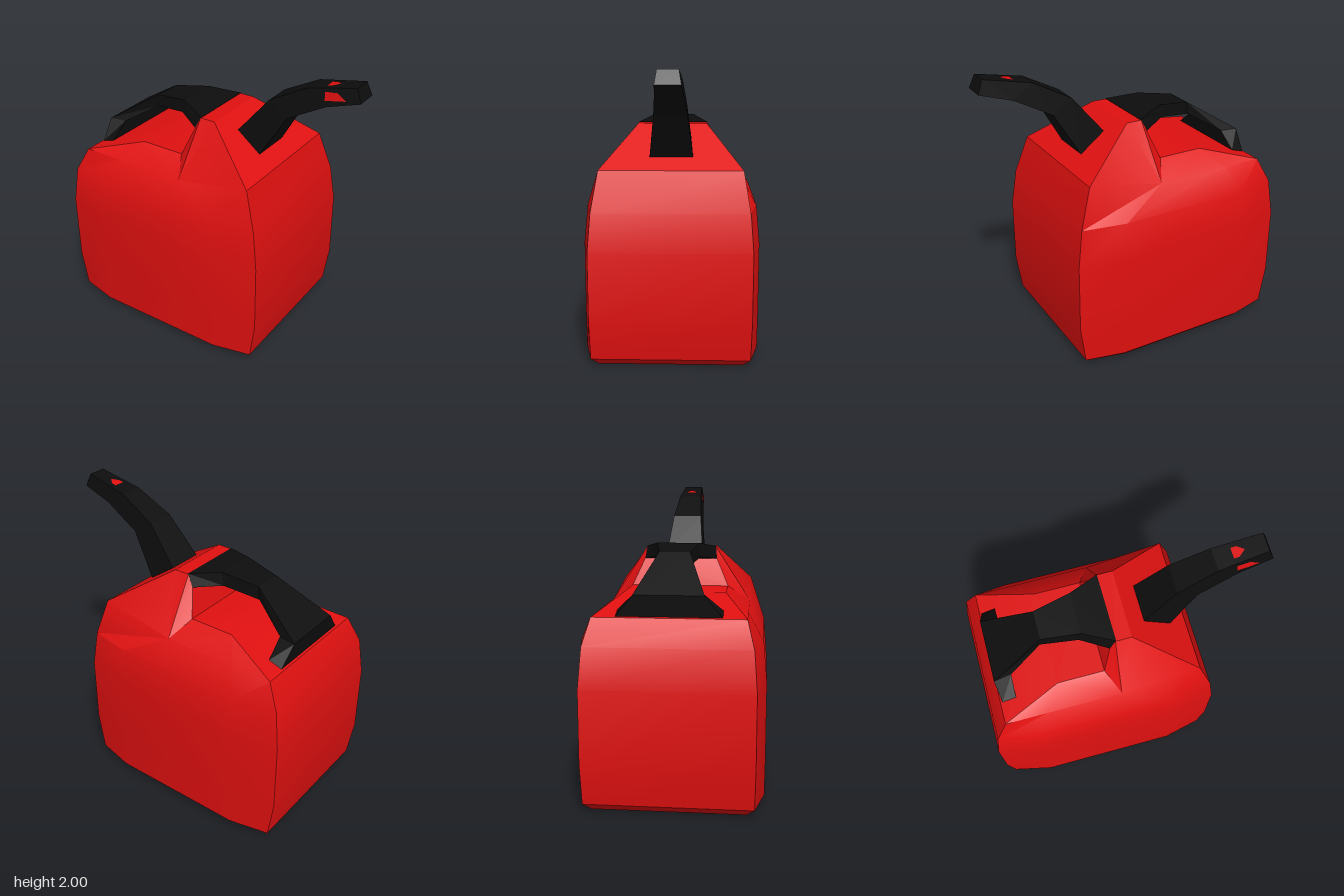
import * as THREE from 'three';
import { toCreasedNormals } from 'three/addons/utils/BufferGeometryUtils.js';

const V = (x, y, z) => new THREE.Vector3(x, y, z);
const mirror = (p) => V(p.x, p.y, -p.z);

const toGeometry = (tris) => {
  const g = new THREE.BufferGeometry().setFromPoints(tris);
  g.computeVertexNormals();
  return g;
};

// Flat polygon as a triangle fan
const fan = (pts) => {
  const out = [];
  for (let i = 1; i < pts.length - 1; i++) out.push(pts[0], pts[i], pts[i + 1]);
  return out;
};

// Skin between rings that run counter-clockwise around the travel direction
const loft = (rings, capEnd = true) => {
  const tris = fan([...rings[0]].reverse());
  for (let i = 0; i < rings.length - 1; i++) {
    const a = rings[i], b = rings[i + 1], n = a.length;
    for (let j = 0; j < n; j++) {
      const k = (j + 1) % n;
      tris.push(...fan([a[j], a[k], b[k], b[j]]));
    }
  }
  if (capEnd) tris.push(...fan(rings[rings.length - 1]));
  return tris;
};

// Four-sided section from its upper and lower edge, with half widths
const section = ([tx, ty, tw, bx, by, bw]) =>
  [V(tx, ty, -tw), V(tx, ty, tw), V(bx, by, bw), V(bx, by, -bw)];

// Thin painted patch lying on a quad face, outline given in face coordinates
const patch = ([a, b, c, d], outline) => {
  const n = b.clone().sub(a).cross(d.clone().sub(a)).normalize().multiplyScalar(0.004);
  return toGeometry(fan(outline.map(([u, v]) =>
    a.clone().lerp(b, u).lerp(d.clone().lerp(c, u), v).add(n))));
};

function bodyGeometry() {
  // Left x, inner xs, right x, y (left, right), corner z, middle z
  const levels = [
    [-0.91, -0.66, 0.24, 0.49, 0, 0, 0.49, 0.55],
    [-0.96, -0.69, 0.27, 0.54, 0.05, 0.05, 0.54, 0.6],
    [-1, -0.69, 0.27, 0.58, 0.32, 0.32, 0.545, 0.603],
    [-1, -0.69, 0.27, 0.58, 0.8, 0.8, 0.545, 0.603],
    [-0.965, -0.68, 0.24, 0.545, 1.06, 1.06, 0.525, 0.58],
    [-0.88, -0.6, -0.08, 0.46, 1.23, 1.33, 0.48, 0.48],
  ];
  const rings = levels.map(([x0, xa, xb, x1, yl, yr, zc, zm]) => {
    const half = [V(x0, yl, zc), V(xa, yl, zm), V(xb, yl, zm), V(x1, yr, zc)];
    return [...half, ...half.map(mirror).reverse()];
  });
  const tris = loft(rings, false);

  // Sloped shoulders, grip recess and raised neck
  const [A, B, C, D] = rings[rings.length - 1];
  const ridge = [V(-0.48, 1.34, 0.33), V(-0.16, 1.34, 0.33), V(-0.1, 1.52, 0.25),
    V(-0.06, 1.6, 0.24), V(0.05, 1.6, 0.24)];
  const side = [A, B, ridge[0], B, C, ridge[0]];
  for (let i = 0; i < 4; i++) side.push(C, ridge[i + 1], ridge[i]);
  side.push(C, D, ridge[4]);
  tris.push(...side, ...side.map(mirror).reverse());
  const strip = [A, ...ridge, D];
  for (let i = 0; i < strip.length - 1; i++) {
    const p = strip[i], q = strip[i + 1];
    tris.push(...fan([p, q, mirror(q), mirror(p)]));
  }
  return toCreasedNormals(toGeometry(tris), 0.55);
}

export function createModel() {
  const red = new THREE.MeshStandardMaterial({ color: 0xe01010 });
  red.name = 'red plastic';
  const black = new THREE.MeshStandardMaterial({ color: 0x0d0d0d });
  black.name = 'black plastic';

  const model = new THREE.Group();
  model.name = 'fuelCan';
  const add = (name, geometry, material) => {
    const mesh = new THREE.Mesh(geometry, material);
    mesh.name = name;
    model.add(mesh);
  };

  add('body', bodyGeometry(), red);

  // Arched handle with a wide foot
  const handle = [
    [-0.865, 1.235, 0.33, -0.77, 1.265, 0.33],
    [-0.88, 1.37, 0.22, -0.76, 1.37, 0.2],
    [-0.52, 1.6, 0.1, -0.53, 1.51, 0.1],
    [-0.26, 1.64, 0.145, -0.28, 1.55, 0.15],
    [-0.055, 1.604, 0.24, -0.1, 1.52, 0.25],
  ].map(section);
  add('handle', toGeometry(loft(handle)), black);

  // Bent tapering spout
  const spout = [
    [0.165, 1.53, 0.13, 0.345, 1.405, 0.145],
    [0.38, 1.79, 0.1, 0.52, 1.7, 0.11],
    [0.64, 1.93, 0.08, 0.78, 1.84, 0.09],
    [0.965, 2.0, 0.065, 1.0, 1.91, 0.08],
  ].map(section);
  add('spout', toGeometry(loft(spout)), black);

  // Red marks near the spout tip
  const [s, e] = [spout[2], spout[3]];
  add('spoutTopMark', patch([s[1], e[1], e[0], s[0]],
    [[0.34, 0.25], [0.45, 0.25], [0.58, 0.5], [0.45, 0.75], [0.34, 0.75]]), red);
  add('spoutSideMark', patch([s[2], e[2], e[1], s[1]],
    [[0.12, 0.32], [0.65, 0.22], [0.55, 0.72], [0.3, 0.8]]), red);

  return model;
}
